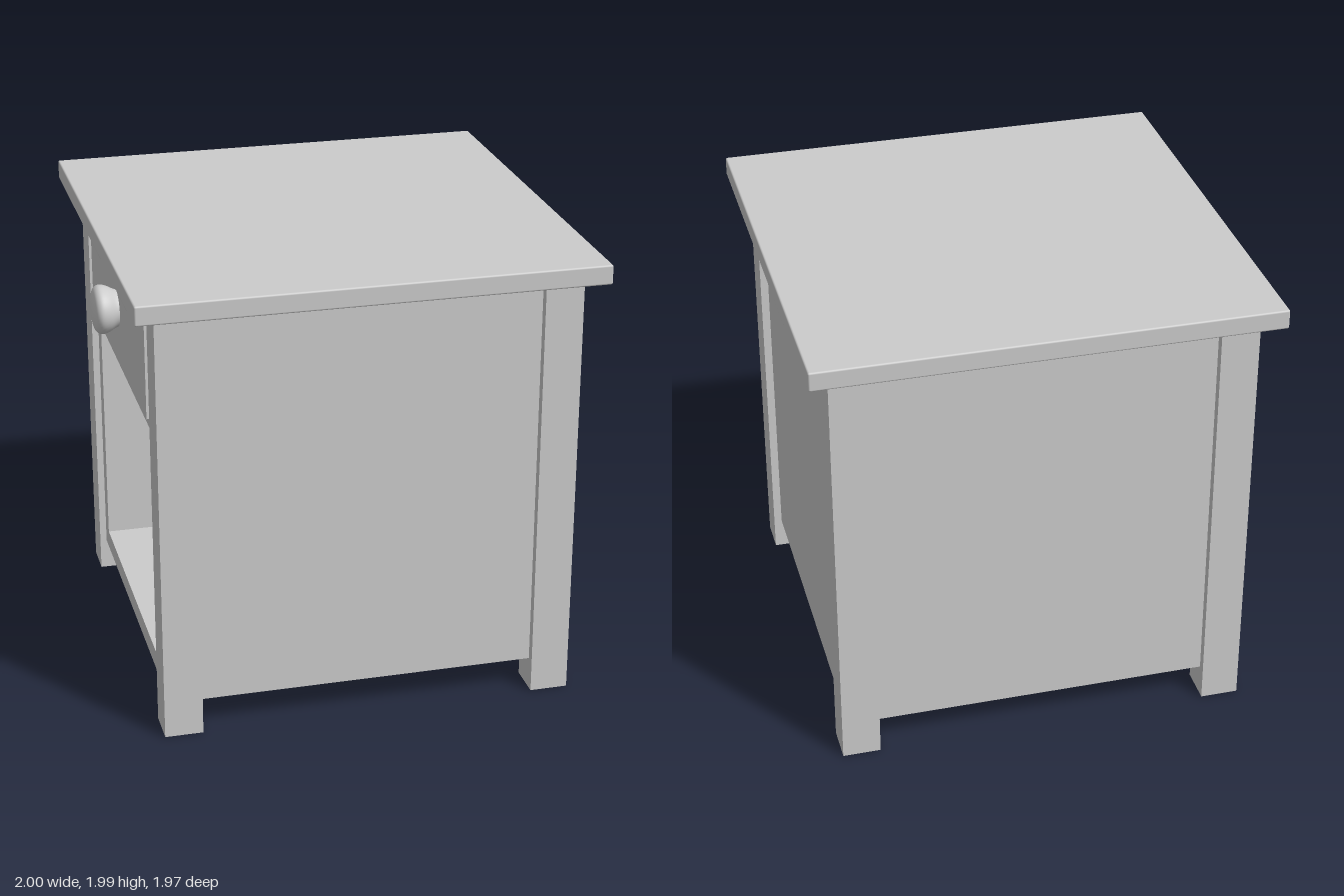
import * as THREE from 'three';
import { RoundedBoxGeometry } from 'three/addons/geometries/RoundedBoxGeometry.js';

const material = new THREE.MeshStandardMaterial({ color: 0xcccccc });

// Box given by its extents along each axis, optionally with eased edges
function block(name, [x0, x1], [y0, y1], [z0, z1], radius = 0) {
  const size = [x1 - x0, y1 - y0, z1 - z0];
  const geometry = radius ? new RoundedBoxGeometry(...size, 2, radius) : new THREE.BoxGeometry(...size);
  const mesh = new THREE.Mesh(geometry, material);
  mesh.name = name;
  mesh.position.set((x0 + x1) / 2, (y0 + y1) / 2, (z0 + z1) / 2);
  return mesh;
}

export function createModel() {
  const model = new THREE.Group();
  model.name = 'bedsideCabinet';

  // Overhanging table top
  model.add(block('tableTop', [-0.98, 0.995], [1.9, 1.985], [-0.987, 0.987], 0.008));

  // Four square corner legs
  for (const [x0, x1] of [[-0.89, -0.725], [0.74, 0.905]]) {
    for (const side of [-1, 1]) {
      const z = [0.74 * side, 0.903 * side].sort((a, b) => a - b);
      model.add(block('leg', [x0, x1], [0, 1.9], z));
    }
  }

  // Carcass, set slightly back from the leg faces and open towards -x
  const carcass = new THREE.Group();
  carcass.name = 'carcass';
  const depth = [-0.86, 0.67];
  const inner = [-0.66, 0.66];
  carcass.add(
    block('sidePanel', [-0.86, 0.87], [0.14, 1.89], [0.66, 0.865]),
    block('sidePanel', [-0.86, 0.87], [0.14, 1.89], [-0.865, -0.66]),
    block('rearPanel', [0.67, 0.87], [0.14, 1.89], inner),
    block('floor', depth, [0.14, 0.225], inner),
    block('shelf', depth, [1.285, 1.39], inner),
    block('topRail', depth, [1.83, 1.89], inner)
  );
  model.add(carcass);

  // Drawer front with a turned knob
  const drawer = new THREE.Group();
  drawer.name = 'drawer';
  drawer.add(block('drawerFront', [-0.889, -0.85], [1.37, 1.85], [-0.67, 0.67]));
  const profile = new THREE.SplineCurve([
    [0.078, -0.01], [0.085, 0.012], [0.1, 0.04], [0.107, 0.066],
    [0.103, 0.085], [0.085, 0.1], [0.045, 0.109], [0, 0.111]
  ].map(([r, h]) => new THREE.Vector2(r, h))).getPoints(28);
  profile[profile.length - 1].x = 0;
  const knob = new THREE.Mesh(new THREE.LatheGeometry(profile, 40), material);
  knob.name = 'knob';
  knob.rotation.z = Math.PI / 2;
  knob.position.set(-0.889, 1.612, 0);
  drawer.add(knob);
  model.add(drawer);

  return model;
}
